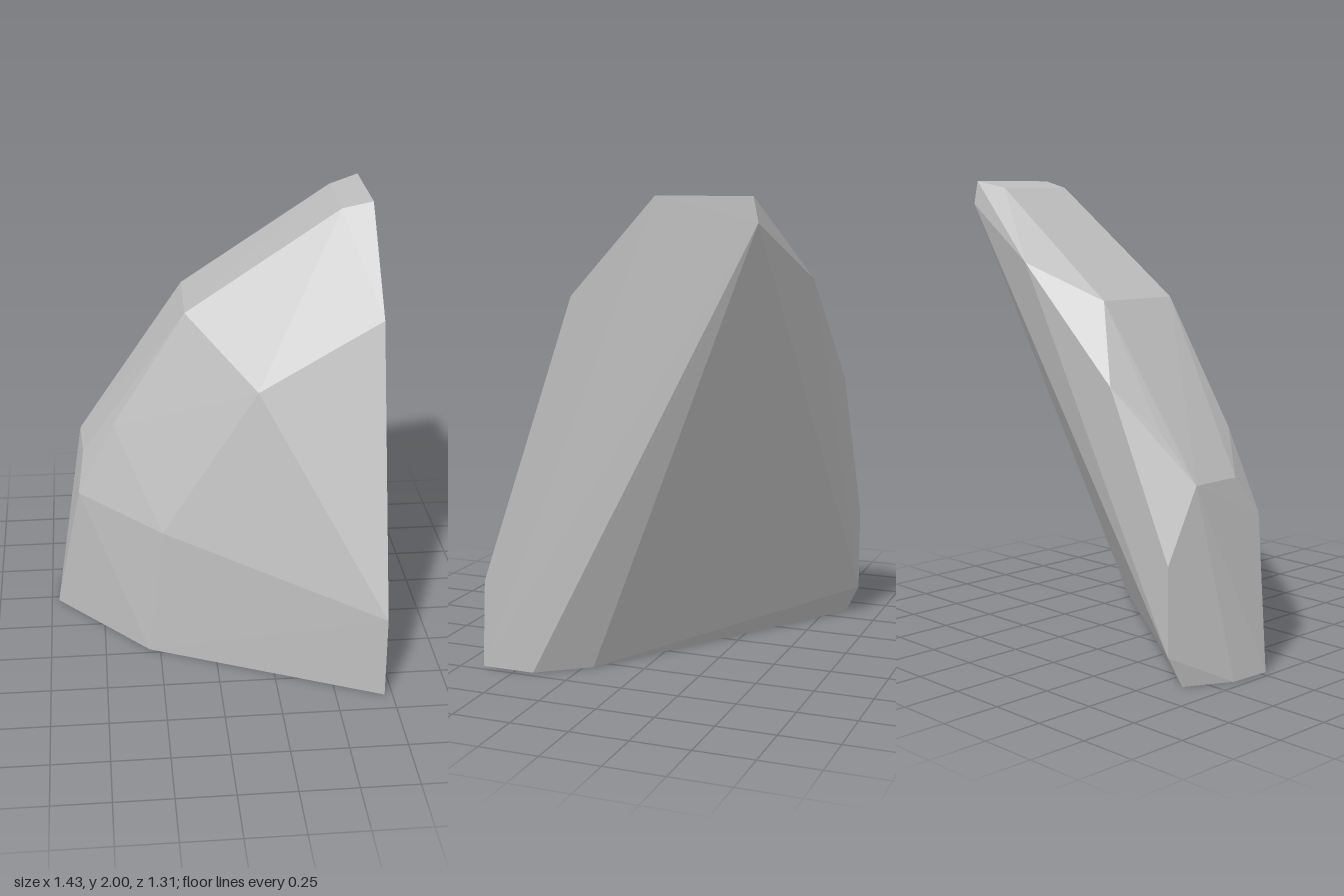
import * as THREE from 'three';
import { ConvexGeometry } from 'three/addons/geometries/ConvexGeometry.js';

export function createModel() {
  const model = new THREE.Group();
  const stone = new THREE.MeshStandardMaterial({ color: 0xbcbcbc, flatShading: true });
  stone.name = 'light grey stone';

  // Flat cut side at +x
  const cutSide = [
    [0.715, 0, 0.655], [0.715, 0.38, 0.64], [0.715, 1.6, 0.22], [0.715, 2, -0.145],
    [0.715, 2, -0.545], [0.715, 1.9, -0.565], [0.715, 0, 0.42],
  ];
  // Flat base
  const base = [
    [-0.3, 0, 0.225], [-0.717, 0, -0.22], [-0.705, 0, -0.4], [-0.6, 0, -0.59], [0.56, 0, 0.21],
  ];
  // Upright back edge
  const back = [
    [-0.585, 0.13, -0.655], [-0.585, 0.5, -0.655], [-0.26, 1.18, -0.655], [0.26, 1.66, -0.655],
  ];
  // Stepped upper rim
  const rim = [
    [0.58, 1.97, -0.5], [0.58, 1.97, -0.152], [-0.09, 1.51, -0.53], [-0.1, 1.51, -0.155],
    [-0.43, 1.0, -0.54], [-0.43, 0.98, -0.14], [-0.58, 0.8, -0.49], [-0.57, 0.8, -0.25],
  ];
  // Bulging front
  const front = [[0.19, 1.28, 0.205], [-0.23, 0.61, 0.21], [-0.597, 0.64, -0.135]];

  const points = [...cutSide, ...base, ...back, ...rim, ...front].map((p) => new THREE.Vector3(...p));
  const rock = new THREE.Mesh(new ConvexGeometry(points), stone);
  rock.name = 'rock';
  model.add(rock);
  return model;
}
